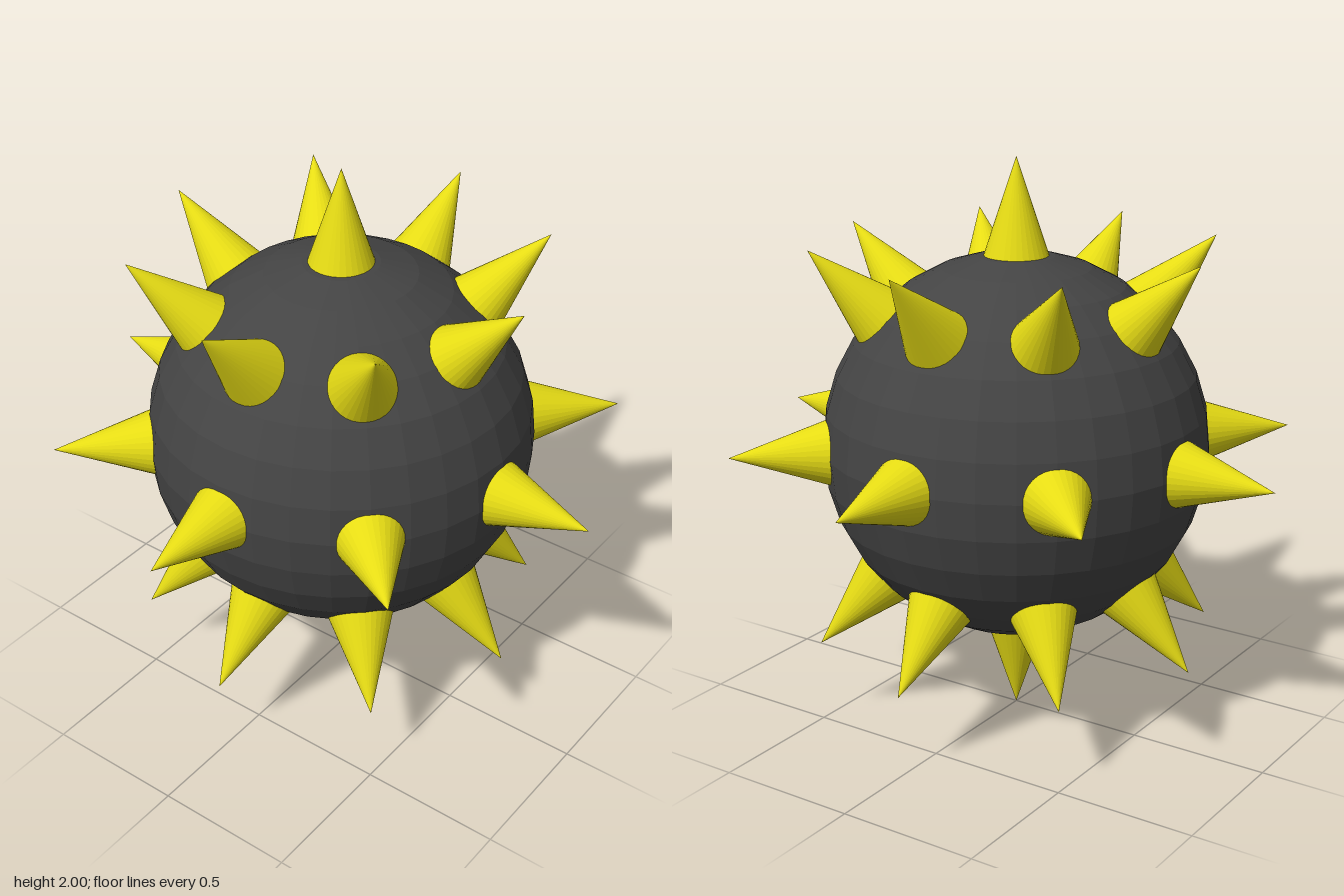
import * as THREE from 'three';

const CENTER_Y = 1, BODY_RADIUS = 0.675, TIP = 1;
const SPIKE_HEIGHT = 0.4, SPIKE_RADIUS = 0.133;

export function createModel() {
  const model = new THREE.Group();
  model.name = 'spikedBall';

  const dark = new THREE.MeshStandardMaterial({ color: 0x444444, flatShading: true });
  const yellow = new THREE.MeshStandardMaterial({ color: 0xe6dc14, flatShading: true });

  // Faceted round body
  const body = new THREE.Mesh(new THREE.SphereGeometry(BODY_RADIUS, 32, 16), dark);
  body.name = 'body';
  body.position.y = CENTER_Y;
  model.add(body);

  // Spikes: the cone tip lies on the unit sphere, the base is sunk into the body
  const spikeGeometry = new THREE.ConeGeometry(SPIKE_RADIUS, SPIKE_HEIGHT, 32);
  spikeGeometry.translate(0, TIP - SPIKE_HEIGHT / 2, 0);
  const spikes = new THREE.Group();
  spikes.name = 'spikes';
  spikes.position.y = CENTER_Y;
  model.add(spikes);

  const addSpike = (name, tilt, turn) => {
    const spike = new THREE.Mesh(spikeGeometry, yellow);
    spike.name = name;
    spike.rotation.set(tilt, turn, 0, 'YXZ');
    spikes.add(spike);
  };

  addSpike('topSpike', 0, 0);
  addSpike('bottomSpike', Math.PI, 0);

  // Three rings of eight spikes
  ['upperSpike', 'middleSpike', 'lowerSpike'].forEach((name, ring) => {
    for (let i = 0; i < 8; i++) addSpike(name + (i + 1), (ring + 1) * Math.PI / 4, i * Math.PI / 4);
  });

  return model;
}
